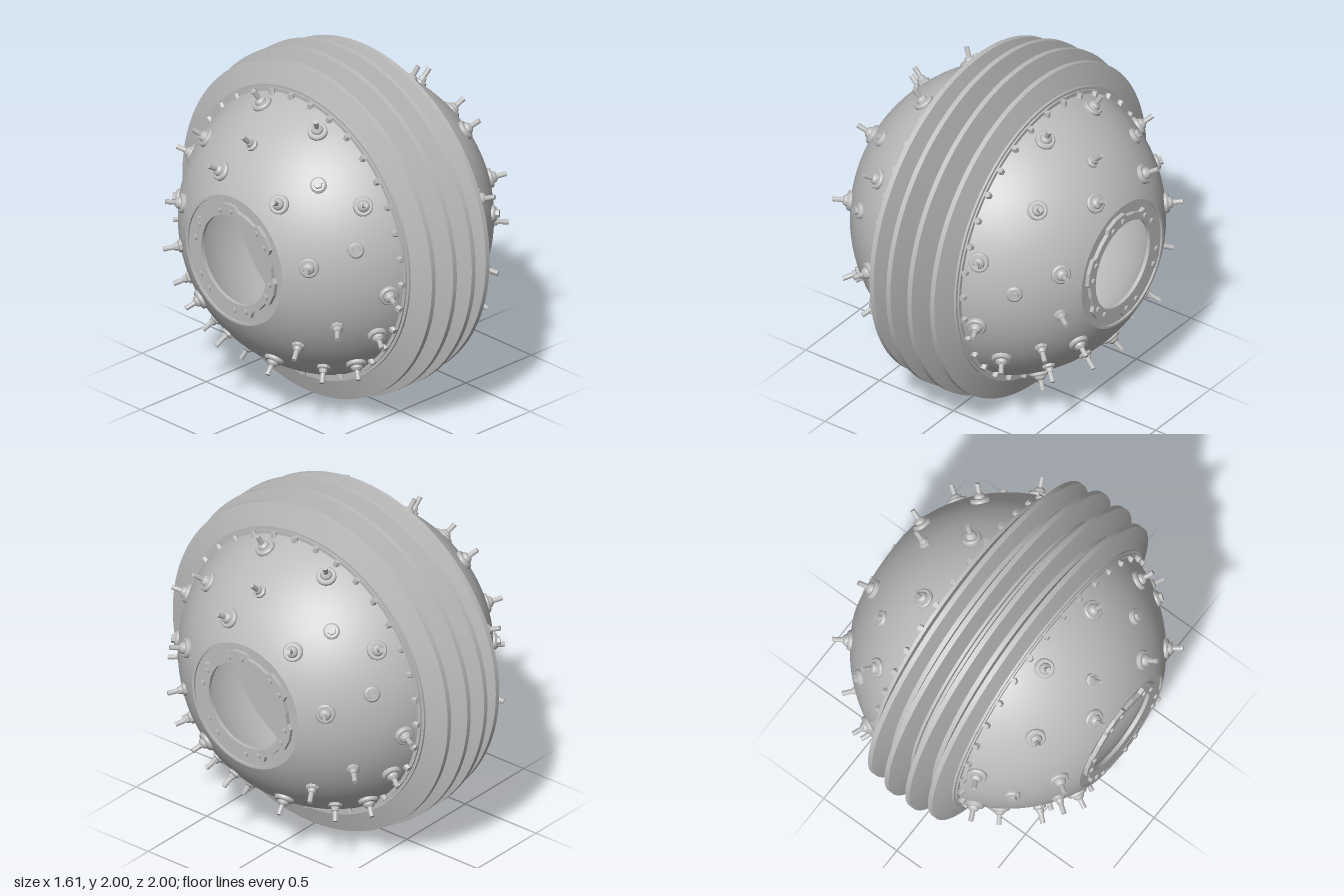
import * as THREE from 'three';
import { toCreasedNormals } from 'three/addons/utils/BufferGeometryUtils.js';

const R = 0.862; // outer shell radius
const UP = new THREE.Vector3(0, 1, 0);

export function createModel() {
  const steel = new THREE.MeshStandardMaterial({ color: 0xbcbcbc });
  steel.name = 'grey steel';

  // Revolved part from [radius, height] pairs
  const lathe = (points, segments) => toCreasedNormals(
    new THREE.LatheGeometry(points.map(([r, h]) => new THREE.Vector2(r, h)), segments), 0.45);

  const add = (parent, name, geometry) => {
    const mesh = new THREE.Mesh(geometry, steel);
    mesh.name = name;
    parent.add(mesh);
    return mesh;
  };

  // Arc of a sphere about the x axis, as [radius, x] pairs
  const arc = (radius, x0, x1, steps) => {
    const a0 = Math.asin(x0 / radius), a1 = Math.asin(x1 / radius);
    return Array.from({ length: steps + 1 }, (_, i) => {
      const a = a0 + (a1 - a0) * i / steps;
      return [radius * Math.cos(a), radius * Math.sin(a)];
    });
  };

  // Thick hemisphere with a recessed round opening
  const shellGeometry = lathe([
    ...arc(R, 0.2, 0.776, 18),
    [0.362, 0.776], [0.362, 0.765], [0.265, 0.765], [0.265, 0.744],
    ...arc(0.79, 0.744, 0.01, 18),
  ], 80).rotateZ(-Math.PI / 2);

  // Flange ring with six lobes, each carrying two bolts
  const lobeAngle = (k) => (-12 + 60 * k) * Math.PI / 180;
  const outline = [];
  for (let k = 0; k < 6; k++) {
    for (const [deg, r] of [[-17, 0.305], [-13, 0.33], [0, 0.333], [13, 0.33], [17, 0.305], [30, 0.305]]) {
      const a = lobeAngle(k) + deg * Math.PI / 180;
      outline.push(new THREE.Vector2(r * Math.sin(a), r * Math.cos(a)));
    }
  }
  const flangeShape = new THREE.Shape(outline);
  flangeShape.holes.push(new THREE.Path().absarc(0, 0, 0.262, 0, Math.PI * 2, true));
  const flangeGeometry = new THREE.ExtrudeGeometry(flangeShape,
    { depth: 0.026, bevelEnabled: false, curveSegments: 48 })
    .rotateY(Math.PI / 2).translate(0.762, 0, 0);

  // Fasteners, each standing on y = 0
  const flangeBoltGeometry = toCreasedNormals(new THREE.CylinderGeometry(0.015, 0.015, 0.014, 12), 0.6);
  const rimBoltGeometry = toCreasedNormals(new THREE.CylinderGeometry(0.018, 0.02, 0.034, 6), 0.5);
  const washer = lathe([[0.056, -0.02], [0.056, 0.012], [0.048, 0.02], [0.034, 0.02],
    [0.03, 0.034], [0.018, 0.045], [0, 0.045]], 18);
  const collar = lathe([[0.036, -0.02], [0.036, 0.014], [0.024, 0.02], [0.02, 0.04], [0, 0.04]], 8);
  const pin = lathe([[0.014, 0.03], [0.014, 0.1], [0, 0.1]], 10);
  const plugBase = lathe([[0.046, -0.02], [0.046, 0.01], [0.036, 0.02], [0, 0.02]], 18);
  const plugNut = lathe([[0.026, 0.01], [0.024, 0.038], [0, 0.038]], 6);
  const fasteners = {
    stud: [['studWasher', washer], ['studPin', pin]],
    small: [['studCollar', collar], ['studPin', pin]],
    plug: [['plugBase', plugBase], ['plugNut', plugNut]],
  };

  // Fastener positions on one hemisphere, as [y, z]
  const layout = {
    stud: [[0.75, 0.18], [0.73, -0.25], [0.5, 0.455], [0.46, 0.165], [0.41, -0.28],
      [0.42, -0.63], [0.255, 0.775], [0.16, 0.47], [0.1, -0.5], [-0.085, -0.8],
      [-0.165, 0.8], [-0.42, 0.625], [-0.365, 0.32], [-0.72, 0.255], [-0.61, -0.13],
      [-0.6, -0.54], [-0.35, -0.7]],
    small: [[0.62, 0.04], [-0.1, 0.48], [-0.335, 0.515], [-0.555, 0.37], [-0.54, 0.175],
      [-0.43, -0.37], [-0.61, -0.385], [-0.27, -0.59]],
    plug: [[0.52, -0.42], [0.07, 0.67], [0.2, -0.67]],
  };

  const buildHalf = (name) => {
    const half = new THREE.Group();
    half.name = name;
    add(half, 'shell', shellGeometry);
    add(half, 'flangeRing', flangeGeometry);

    // Wall closing the hemisphere at the middle
    const wall = add(half, 'bulkhead', new THREE.CylinderGeometry(0.8, 0.8, 0.016, 64));
    wall.rotation.z = -Math.PI / 2;
    wall.position.x = 0.01;

    // Paired flange bolts
    for (let k = 0; k < 6; k++) {
      for (const side of [-1, 1]) {
        const a = lobeAngle(k) + side * 0.155;
        const bolt = add(half, 'flangeBolt', flangeBoltGeometry);
        bolt.rotation.z = -Math.PI / 2;
        bolt.position.set(0.793, 0.292 * Math.cos(a), -0.292 * Math.sin(a));
      }
    }

    // Hex bolts around the rim
    for (let i = 0; i < 34; i++) {
      const a = (i + 0.3) / 34 * Math.PI * 2;
      const bolt = add(half, 'rimBolt', rimBoltGeometry);
      bolt.position.set(0.298, 0.815 * Math.cos(a), 0.815 * Math.sin(a));
      bolt.rotation.x = a;
    }

    // Radial studs and plugs
    for (const [kind, spots] of Object.entries(layout)) {
      for (const [y, z] of spots) {
        const x = Math.sqrt(Math.max(R * R - y * y - z * z, 0.37 ** 2));
        const direction = new THREE.Vector3(x, y, z).normalize();
        const fastener = new THREE.Group();
        fastener.name = kind === 'plug' ? 'plug' : 'stud';
        fastener.position.copy(direction).multiplyScalar(R);
        fastener.quaternion.setFromUnitVectors(UP, direction);
        for (const [part, geometry] of fasteners[kind]) add(fastener, part, geometry);
        half.add(fastener);
      }
    }
    return half;
  };

  const model = new THREE.Group();
  model.name = 'studdedSphere';
  const body = new THREE.Group();
  body.name = 'body';
  body.position.y = 1;
  model.add(body);

  const leftHalf = buildHalf('leftHalf');
  const rightHalf = buildHalf('rightHalf');
  rightHalf.rotation.y = Math.PI;
  body.add(leftHalf, rightHalf);

  // Ridged belt around the middle
  const side = [[0.8, 0.004], [0.85, 0.004], [0.85, 0.02], [1, 0.057], [1, 0.086], [0.85, 0.125],
    [0.85, 0.152], [0.972, 0.191], [0.972, 0.22], [0.85, 0.262], [0.85, 0.275], [0.834, 0.275],
    [0.834, 0.285], [0.8, 0.285]];
  const mirrored = side.map(([r, x]) => [r, -x]).reverse();
  add(body, 'ridgedBelt', lathe([...mirrored, ...side], 96).rotateZ(-Math.PI / 2));

  return model;
}
